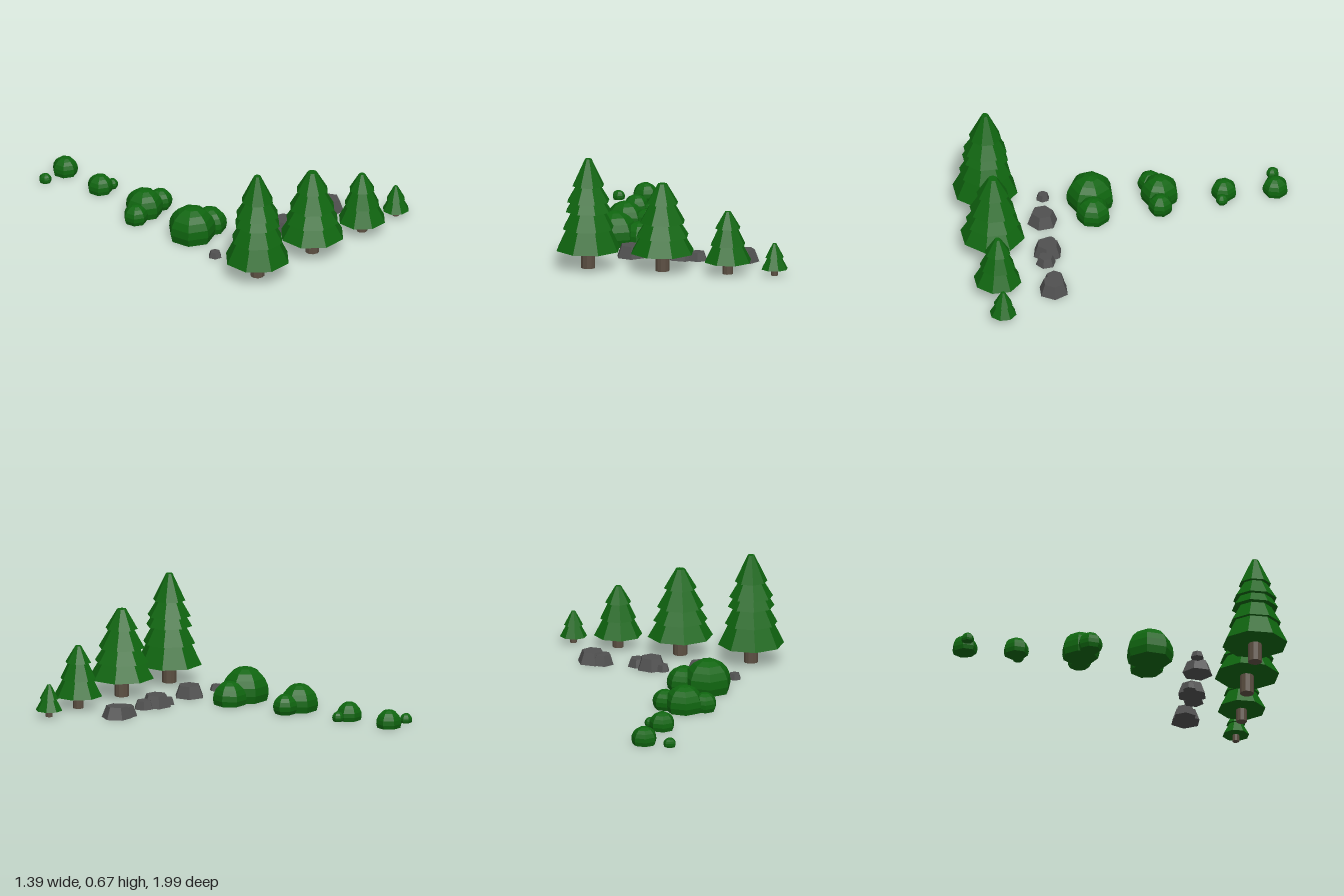
import * as THREE from 'three';

const mat = (color) => new THREE.MeshStandardMaterial({ color, flatShading: true });
const leafMat = mat(0x0f650f);
const barkMat = mat(0x5c4f42);
const rockMat = mat(0x505050);

function add(parent, name, geometry, material, x, y, z) {
  const mesh = new THREE.Mesh(geometry, material);
  mesh.name = name;
  mesh.position.set(x, y, z);
  parent.add(mesh);
  return mesh;
}

// Conifer: round trunk plus stacked eight-sided skirts [bottomY, topY, bottomR, topR]
function pine(x, z, trunkR, tiers) {
  const tree = new THREE.Group();
  tree.name = 'pineTree';
  tree.position.set(x, 0, z);
  const trunkH = tiers[0][0] + 0.03;
  add(tree, 'trunk', new THREE.CylinderGeometry(trunkR, trunkR, trunkH, 10), barkMat, 0, trunkH / 2, 0);
  for (const [y0, y1, r0, r1] of tiers) {
    const g = new THREE.CylinderGeometry(r1, r0, y1 - y0, 8, 1, false, THREE.MathUtils.degToRad(27));
    add(tree, 'foliageTier', g, leafMat, 0, (y0 + y1) / 2, 0);
  }
  return tree;
}

// Bush lobe: seven-sided dome, cut flat at the ground
function dome(parent, [x, z, r, h]) {
  const steps = 6, centre = h - r;
  const start = -Math.asin(Math.min(0.95, centre / r));
  const profile = [new THREE.Vector2(0, 0)];
  for (let i = 0; i <= steps; i++) {
    const a = start + (Math.PI / 2 - start) * i / steps;
    profile.push(new THREE.Vector2(i === steps ? 0 : r * Math.cos(a), i ? centre + r * Math.sin(a) : 0));
  }
  add(parent, 'bushLobe', new THREE.LatheGeometry(profile, 7), leafMat, x, 0, z);
}

// Stone: six-sided frustum
function stone(parent, [x, z, r, h, turn]) {
  const g = new THREE.CylinderGeometry(r * 0.7, r, h, 6);
  add(parent, 'stone', g, rockMat, x, h / 2, z).rotation.y = THREE.MathUtils.degToRad(turn);
}

function cluster(name, items, build) {
  const group = new THREE.Group();
  group.name = name;
  items.forEach((item) => build(group, item));
  return group;
}

export function createModel() {
  const model = new THREE.Group();
  model.name = 'forestSet';

  // Row of conifers, from tall to small
  model.add(
    pine(-0.51, 0.805, 0.042, [
      [0.115, 0.265, 0.198, 0.125], [0.245, 0.37, 0.158, 0.09], [0.35, 0.43, 0.14, 0.09],
      [0.41, 0.52, 0.132, 0.065], [0.505, 0.667, 0.098, 0.02],
    ]),
    pine(-0.062, 0.805, 0.042, [
      [0.115, 0.235, 0.196, 0.125], [0.215, 0.32, 0.163, 0.095],
      [0.3, 0.43, 0.14, 0.065], [0.415, 0.533, 0.098, 0.028],
    ]),
    pine(0.335, 0.815, 0.032, [
      [0.077, 0.2, 0.145, 0.08], [0.18, 0.3, 0.108, 0.05], [0.28, 0.38, 0.078, 0.018],
    ]),
    pine(0.616, 0.81, 0.021, [[0.04, 0.125, 0.081, 0.035], [0.11, 0.195, 0.057, 0.011]]),
  );

  // Row of rocks: [x, z, radius, height, turn in degrees]
  const rocks = [
    [[-0.53, 0.458, 0.042, 0.035, 20]],
    [[-0.304, 0.483, 0.093, 0.072, 10]],
    [[0.005, 0.483, 0.091, 0.072, 20], [0.1, 0.503, 0.062, 0.05, 10], [-0.075, 0.46, 0.042, 0.04, 15]],
    [[0.378, 0.483, 0.092, 0.072, 30], [0.31, 0.472, 0.07, 0.062, 30]],
  ];
  rocks.forEach((r) => model.add(cluster('rock', r, stone)));

  // Column of bushes running back: [x, z, radius, height]
  const bushes = [
    [[-0.46, 0.18, 0.144, 0.2], [-0.31, 0.177, 0.103, 0.14]],
    [[-0.46, -0.235, 0.115, 0.16], [-0.572, -0.188, 0.074, 0.112], [-0.335, -0.228, 0.074, 0.118]],
    [[-0.458, -0.62, 0.077, 0.108], [-0.378, -0.6, 0.036, 0.06]],
    [[-0.455, -0.927, 0.077, 0.108], [-0.617, -0.927, 0.038, 0.055]],
  ];
  bushes.forEach((b) => model.add(cluster('bush', b, dome)));

  return model;
}
